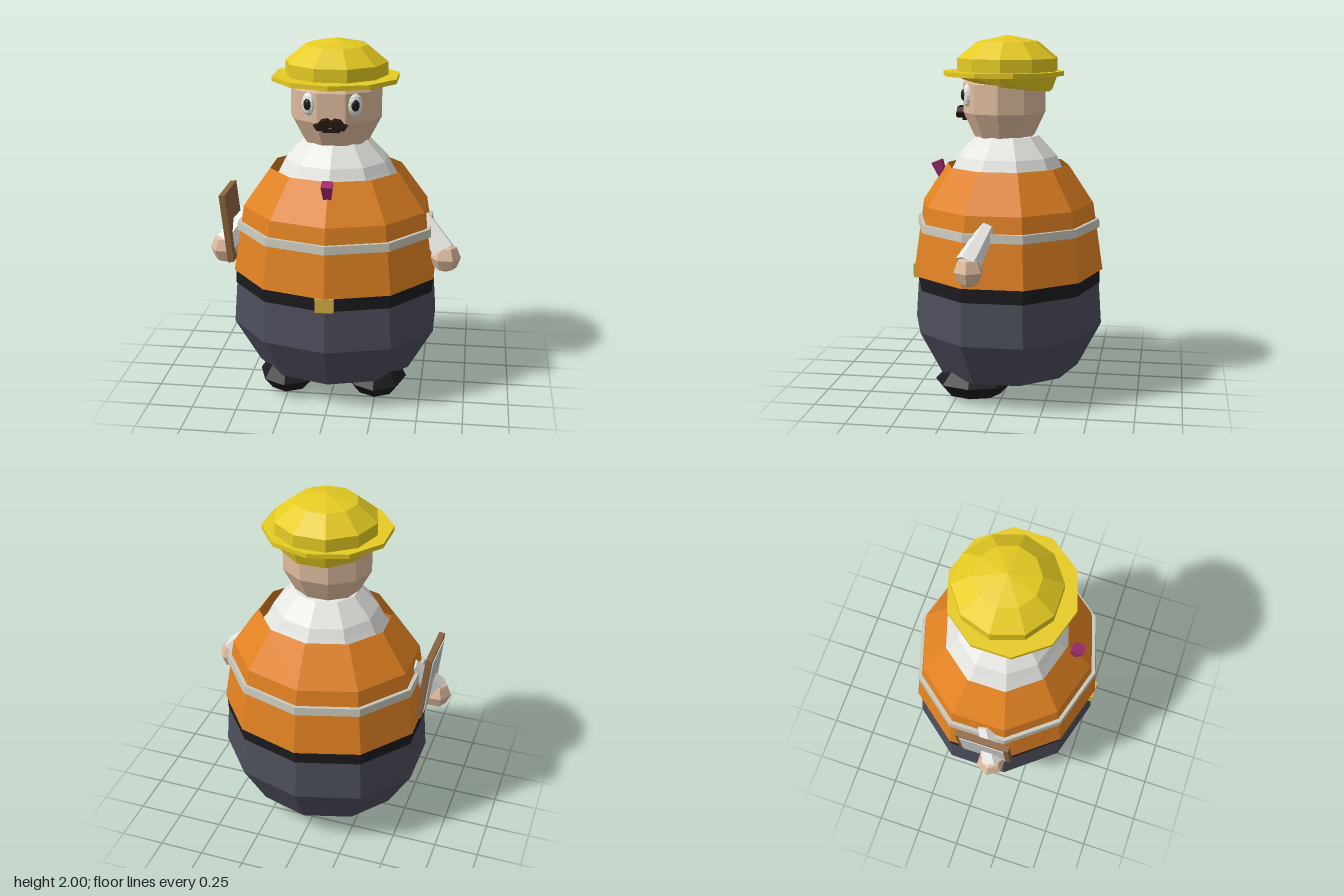
import * as THREE from 'three';

const mat = (color) => new THREE.MeshStandardMaterial({ color, flatShading: true, side: THREE.DoubleSide });
const M = {
  skin: mat(0xdfbc9e), white: mat(0xe6e6e2), orange: mat(0xe28222), stripe: mat(0xc8c8bc),
  trousers: mat(0x4c4e5b), black: mat(0x1b1b1f), gold: mat(0xd6ad45), yellow: mat(0xe6cb22),
  pink: mat(0xa12c6e), wood: mat(0x8d633c), hair: mat(0x24170e), paper: mat(0xd8d8d8),
};

export function createModel() {
  const model = new THREE.Group();

  const add = (name, geometry, material, pos = [0, 0, 0], parent = model) => {
    const mesh = new THREE.Mesh(geometry, material);
    mesh.name = name;
    mesh.position.set(...pos);
    parent.add(mesh);
    return mesh;
  };
  // Ten-sided turned shell; depth squashes z, start turns the first corner
  const shell = (name, profile, material, depth = 0.9, start = 0, z = 0) => {
    const points = profile.map(([r, y]) => new THREE.Vector2(r, y));
    const geometry = new THREE.LatheGeometry(points, 10, start).scale(1, 1, depth);
    return add(name, geometry, material, [0, 0, z]);
  };
  const ball = (name, size, material, pos, w = 8, h = 6, parent = model) =>
    add(name, new THREE.SphereGeometry(1, w, h).scale(...size), material, pos, parent);
  const FLAT = Math.PI / 10; // flat side facing forward

  // Clothes
  shell('trousers', [[0, 0.14], [0.45, 0.14], [0.594, 0.39], [0.575, 0.64]], M.trousers);
  shell('belt', [[0.55, 0.625], [0.58, 0.625], [0.578, 0.705], [0.54, 0.705]], M.black);
  add('beltBuckle', new THREE.BoxGeometry(0.1, 0.078, 0.04), M.gold, [0, 0.666, 0.518]);
  shell('vest', [[0.588, 0.703], [0.526, 1.08], [0.373, 1.29]], M.orange, 0.915);
  shell('reflectiveStripe', [[0.53, 0.945], [0.567, 0.945], [0.562, 0.99], [0.53, 0.99]], M.stripe, 0.915);
  shell('shirt', [[0.5, 0.72], [0.48, 1.05], [0.365, 1.2], [0.315, 1.29], [0.29, 1.34], [0.185, 1.45], [0, 1.46]], M.white, 0.95);
  const tie = add('tie', new THREE.CylinderGeometry(0.042, 0.027, 0.11, 4, 1, false, Math.PI / 4), M.pink, [0, 1.245, 0.383]);
  tie.rotation.x = 0.38;

  // Head and face
  shell('head', [[0, 1.43], [0.18, 1.445], [0.25, 1.58], [0.25, 1.74], [0.2, 1.84], [0, 1.87]], M.skin, 0.92, FLAT, 0.017);
  for (const s of [-1, 1]) {
    const eye = new THREE.Group();
    eye.name = s > 0 ? 'leftEye' : 'rightEye';
    eye.position.set(s * 0.122, 1.677, 0.2);
    eye.rotation.y = s * 0.5;
    model.add(eye);
    ball('eyeWhite', [0.044, 0.064, 0.03], M.white, [0, 0, 0], 10, 8, eye);
    ball('pupil', [0.024, 0.031, 0.014], M.black, [-s * 0.006, 0.002, 0.025], 8, 6, eye);
  }
  const half = [[0.02, 1.608], [0.05, 1.602], [0.068, 1.58], [0.088, 1.575], [0.072, 1.553], [0.04, 1.55]];
  const outline = [[0, 1.595], ...half, [0, 1.572], ...half.map(([x, y]) => [-x, y]).reverse()];
  const moustache = new THREE.Shape(outline.map(([x, y]) => new THREE.Vector2(x, y)));
  add('moustache', new THREE.ExtrudeGeometry(moustache, {
    depth: 0.035, bevelEnabled: true, bevelThickness: 0.006, bevelSize: 0.003, bevelSegments: 1,
  }), M.hair, [0, 0, 0.235]);
  add('mouth', new THREE.BoxGeometry(0.09, 0.016, 0.04), M.black, [0, 1.542, 0.228]);

  // Hard hat, its lower rim dipping towards the back
  const crown = shell('hatCrown', [[0.25, 1.73], [0.28, 1.78], [0.28, 1.875], [0.17, 1.965], [0, 2]], M.yellow, 1, FLAT);
  const p = crown.geometry.attributes.position;
  for (let i = 0; i < p.count; i++) {
    if (p.getY(i) < 1.75) p.setY(i, 1.73 + 0.13 * p.getZ(i));
  }
  shell('hatBrim', [[0.24, 1.78], [0.352, 1.78], [0.352, 1.805], [0.24, 1.805]], M.yellow, 0.955, 0, 0.025);

  // Arms, hands and shoes
  const up = new THREE.Vector3(0, 1, 0);
  for (const s of [-1, 1]) {
    const side = s > 0 ? 'left' : 'right';
    const from = new THREE.Vector3(s * 0.485, 1.02, 0.03);
    const to = new THREE.Vector3(s * 0.61, 0.85, 0.115);
    const dir = from.clone().sub(to);
    const sleeve = add(side + 'Sleeve', new THREE.CylinderGeometry(0.045, 0.07, dir.length(), 6), M.white,
      from.clone().add(to).multiplyScalar(0.5).toArray());
    sleeve.quaternion.setFromUnitVectors(up, dir.normalize());
    ball(side + 'Hand', [0.086, 0.086, 0.082], M.skin, [s * 0.62, 0.814, 0.11], 6, 4);
    ball(side + 'Shoe', [0.17, 0.1, 0.215], M.black, [s * 0.25, 0.1, 0.155], 8, 4);
  }

  // Clipboard in the right hand, sheet facing outwards
  const clipboard = new THREE.Group();
  clipboard.name = 'clipboard';
  clipboard.position.set(-0.59, 0.957, 0.06);
  clipboard.rotation.z = 0.105;
  model.add(clipboard);
  add('board', new THREE.BoxGeometry(0.034, 0.39, 0.3), M.wood, [0, 0, 0], clipboard);
  add('sheet', new THREE.BoxGeometry(0.008, 0.34, 0.25), M.paper, [-0.019, 0, 0], clipboard);

  return model;
}
